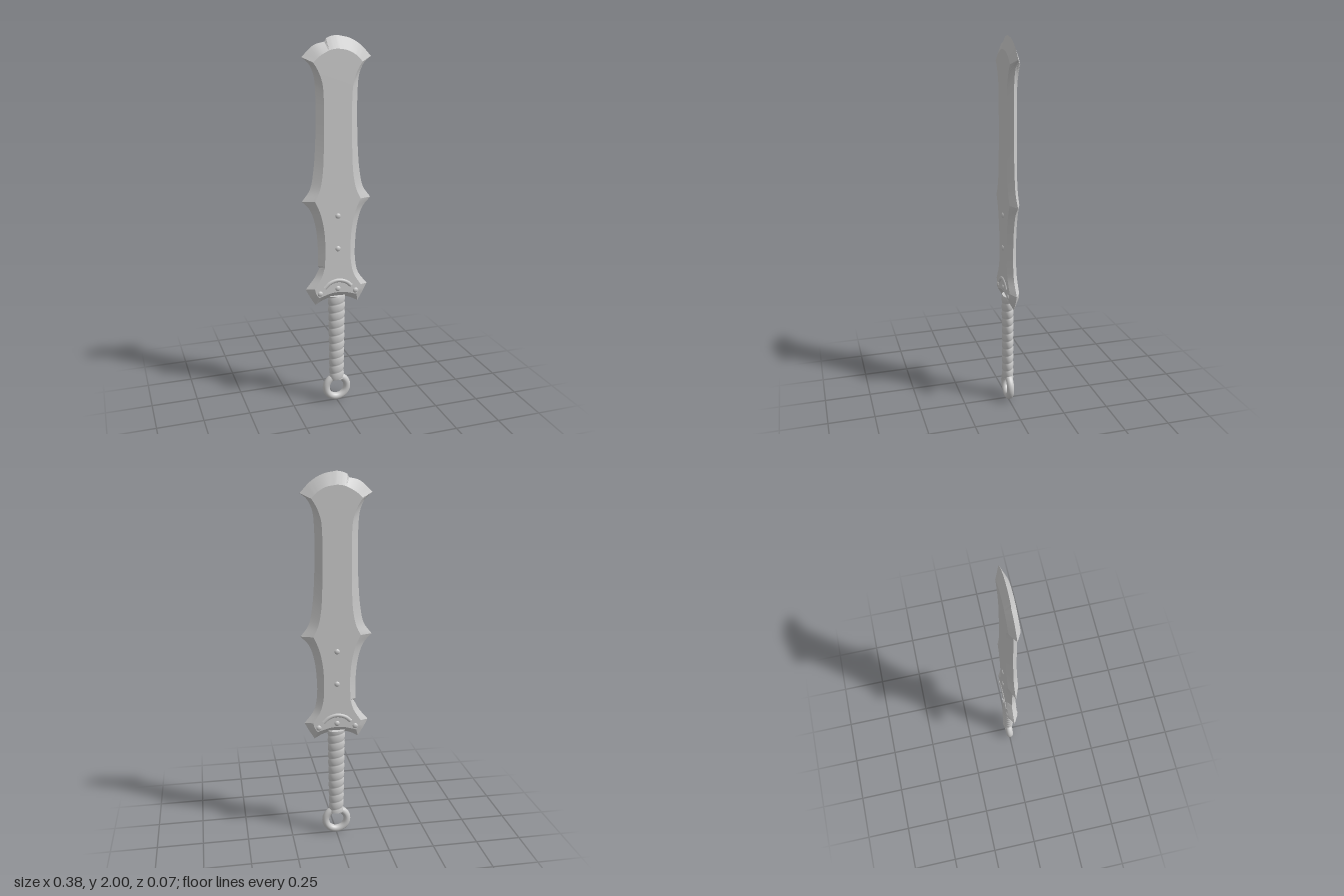
import * as THREE from 'three';
import { toCreasedNormals } from 'three/addons/utils/BufferGeometryUtils.js';

const material = new THREE.MeshStandardMaterial({ color: 0xcccccc });
const HALF = 0.026; // half thickness of the flat of the blade

// Each row: cutting edge x, y, then edge of the flat x, y. Sharp corners fall between sections.
const tip = [[0, 2, 0, 1.935], [0.07, 1.985, 0.055, 1.925], [0.13, 1.95, 0.1, 1.9], [0.183, 1.895, 0.13, 1.87]];
const upper = [[0.183, 1.895, 0.13, 1.87], [0.148, 1.865, 0.105, 1.83], [0.122, 1.81, 0.083, 1.77],
  [0.113, 1.73, 0.076, 1.7], [0.112, 1.58, 0.075, 1.57], [0.116, 1.44, 0.077, 1.42],
  [0.126, 1.32, 0.084, 1.3], [0.146, 1.225, 0.1, 1.22], [0.189, 1.165, 0.125, 1.165]];
const lower = [[0.189, 1.165, 0.125, 1.165], [0.145, 1.115, 0.097, 1.1], [0.117, 1.03, 0.077, 1.01],
  [0.105, 0.92, 0.07, 0.91], [0.105, 0.83, 0.073, 0.82], [0.122, 0.75, 0.09, 0.75], [0.174, 0.68, 0.13, 0.685]];
const horn = [[0.174, 0.68, 0.13, 0.685], [0.15, 0.635, 0.122, 0.655], [0.12, 0.585, 0.106, 0.632]];
const base = [[0.12, 0.585, 0.106, 0.632], [0.08, 0.607, 0.07, 0.643], [0.04, 0.619, 0.035, 0.652], [0, 0.622, 0, 0.655]];

// The other side has a chipped tip and a nick above the guard
const chippedTip = [
  [[0, 2, 0, 1.935], [0.03, 1.995, 0.025, 1.932], [0.055, 1.985, 0.045, 1.927]],
  [[0.055, 1.985, 0.045, 1.927], [0.064, 1.968, 0.05, 1.925]],
  [[0.064, 1.968, 0.05, 1.925], [0.12, 1.952, 0.095, 1.9], [0.183, 1.895, 0.13, 1.87]],
];
const nicked = [
  [...lower.slice(0, 4), [0.105, 0.805, 0.073, 0.81]],
  [[0.105, 0.805, 0.073, 0.81], [0.096, 0.795, 0.074, 0.8]],
  [[0.096, 0.795, 0.074, 0.8], [0.122, 0.745, 0.09, 0.75], [0.174, 0.68, 0.13, 0.685]],
];

function sample(sections, side) {
  const points = [];
  for (const rows of sections) {
    const outer = new THREE.CatmullRomCurve3(rows.map(r => new THREE.Vector3(side * r[0], r[1], 0)));
    const inner = new THREE.CatmullRomCurve3(rows.map(r => new THREE.Vector3(side * r[2], r[3], HALF)));
    const steps = (rows.length - 1) * 4;
    for (let i = 0; i < steps; i++) points.push([outer.getPoint(i / steps), inner.getPoint(i / steps)]);
  }
  const end = sections.at(-1).at(-1);
  points.push([new THREE.Vector3(side * end[0], end[1], 0), new THREE.Vector3(side * end[2], end[3], HALF)]);
  return points;
}

function bladeGeometry() {
  const right = sample([tip, upper, lower, horn, base], 1);
  const left = sample([...chippedTip, upper, ...nicked, horn, base], -1).reverse();
  const ring = [...right, ...left.slice(1, -1)];
  const positions = [];
  const triangle = (a, b, c) => {
    for (const p of [a, b, c]) positions.push(p.x, p.y, p.z);
    for (const p of [a, c, b]) positions.push(p.x, p.y, -p.z);
  };
  // Bevels from the flat to the cutting edge
  ring.forEach(([a, a2], i) => {
    const [b, b2] = ring[(i + 1) % ring.length];
    triangle(a, a2, b2);
    triangle(a, b2, b);
  });
  // Flats
  const flat = ring.map(p => p[1]);
  const contour = flat.map(p => new THREE.Vector2(p.x, p.y));
  for (const [i, j, k] of THREE.ShapeUtils.triangulateShape(contour, [])) {
    const area = THREE.ShapeUtils.area([contour[i], contour[j], contour[k]]);
    if (area > 0) triangle(flat[i], flat[j], flat[k]);
    else triangle(flat[i], flat[k], flat[j]);
  }
  const geometry = new THREE.BufferGeometry();
  geometry.setAttribute('position', new THREE.Float32BufferAttribute(positions, 3));
  return toCreasedNormals(geometry, 0.3);
}

// Oval handle with a spiral wrapping raised in rounded bands
function gripGeometry() {
  const bottom = 0.13, top = 0.628, turns = 11;
  const geometry = new THREE.CylinderGeometry(1, 1, top - bottom, 40, 132);
  geometry.translate(0, (top + bottom) / 2, 0);
  const p = geometry.attributes.position;
  for (let i = 0; i < p.count; i++) {
    const t = (p.getY(i) - bottom) / (top - bottom);
    const angle = Math.atan2(p.getX(i), p.getZ(i));
    const phase = t * turns - angle / (2 * Math.PI);
    const band = Math.sqrt(Math.abs(Math.sin(Math.PI * phase)));
    const size = 0.88 + 0.13 * band;
    const width = 0.041 + 0.007 * t;
    p.setX(i, p.getX(i) * width * size);
    p.setZ(i, p.getZ(i) * 0.031 * size);
  }
  geometry.computeVertexNormals();
  return geometry;
}

export function createModel() {
  const model = new THREE.Group();
  const add = (name, geometry, x = 0, y = 0, z = 0) => {
    const mesh = new THREE.Mesh(geometry, material);
    mesh.name = name;
    mesh.position.set(x, y, z);
    model.add(mesh);
    return mesh;
  };

  add('blade', bladeGeometry());
  add('wrappedGrip', gripGeometry());
  add('pommelRing', new THREE.TorusGeometry(0.061, 0.02, 16, 48), 0, 0.081, 0);

  // Rivets and the arched ridge on both faces
  const rivet = new THREE.SphereGeometry(1, 16, 10);
  const arch = new THREE.CatmullRomCurve3([[-0.075, 0.685], [-0.045, 0.71], [0, 0.722], [0.045, 0.71], [0.075, 0.685]]
    .map(([x, y]) => new THREE.Vector3(x, y, 0)));
  const ridge = new THREE.TubeGeometry(arch, 24, 0.011, 10);
  for (const side of [1, -1]) {
    for (const [x, y] of [[0, 1.08], [0, 0.9], [0, 0.675], [0.1, 0.655], [-0.1, 0.655]]) {
      add('rivet', rivet, x, y, side * 0.024).scale.set(0.015, 0.015, 0.009);
    }
    add('guardRidge', ridge, 0, 0, side * 0.024).scale.z = 0.8;
  }
  return model;
}
